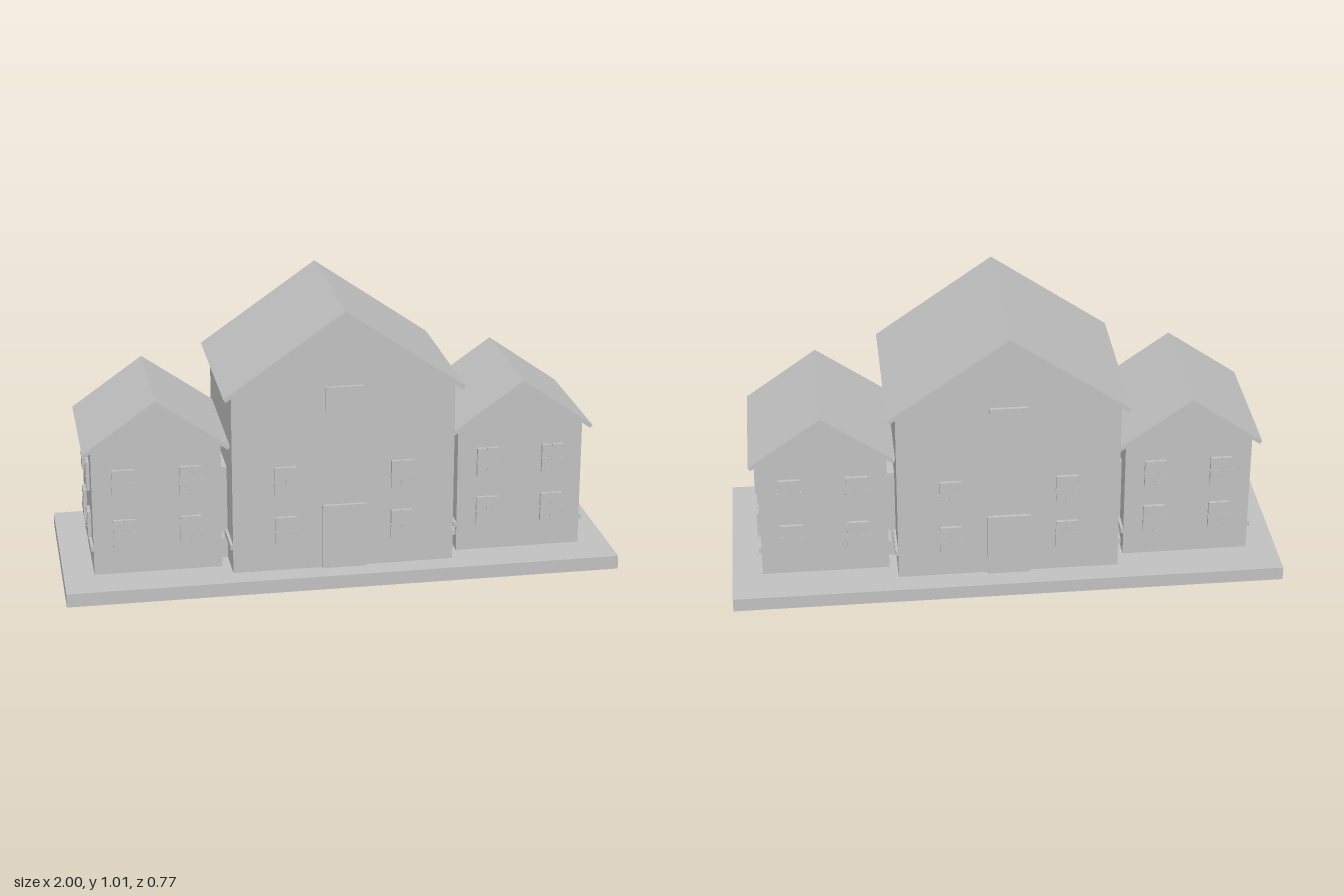
import * as THREE from 'three';

export function createModel() {
  const root = new THREE.Group();
  root.name = 'gabledHouses';
  const grey = new THREE.MeshStandardMaterial({ color: 0xc0c0c0 });
  grey.name = 'plain grey';

  function box(parent, name, w, h, d, x, y, z) {
    const mesh = new THREE.Mesh(new THREE.BoxGeometry(w, h, d), grey);
    mesh.name = name;
    mesh.position.set(x, y, z);
    parent.add(mesh);
    return mesh;
  }

  // outline in x, y extruded along z, centred on z = 0
  function prism(parent, name, points, depth) {
    const shape = new THREE.Shape(points.map(([x, y]) => new THREE.Vector2(x, y)));
    const geometry = new THREE.ExtrudeGeometry(shape, { depth, bevelEnabled: false });
    geometry.translate(0, 0, -depth / 2);
    const mesh = new THREE.Mesh(geometry, grey);
    mesh.name = name;
    parent.add(mesh);
  }

  // window plate with crossing bars, facing along the given turn about y
  function addWindow(parent, x, y, z, turn, w) {
    const win = new THREE.Group();
    win.name = 'window';
    box(win, 'windowPlate', w, 0.105, 0.012, 0, 0, 0.006);
    box(win, 'uprightBar', 0.005, 0.111, 0.0095, 0, 0, 0.008);
    box(win, 'crossBar', w + 0.006, 0.005, 0.0095, 0, 0, 0.008);
    win.position.set(x, y, z);
    win.rotation.y = turn;
    parent.add(win);
  }

  const windowRows = [0.203, 0.392];

  // walls, roof, wall bands and the windows of both gable ends
  function house(name, x, h) {
    const g = new THREE.Group();
    g.name = name;
    g.position.x = x;
    const { half, depth, eave, ridge, roofHalf, roofEave, roofDepth, windowX } = h;
    prism(g, 'walls', [[-half, 0.05], [half, 0.05], [half, eave], [0, ridge], [-half, eave]], depth * 2);
    prism(g, 'roof', [
      [-roofHalf, roofEave], [-roofHalf + 0.008, roofEave - 0.012], [0, ridge],
      [roofHalf - 0.008, roofEave - 0.012], [roofHalf, roofEave], [0, ridge + 0.015],
    ], roofDepth * 2);
    for (const s of [-1, 1]) {
      box(g, 'wallBand', 0.01, 0.02, depth * 2, s * (half + 0.005), 0.15, 0);
      for (const wx of windowX)
        for (const y of windowRows) addWindow(g, wx, y, s * depth, s > 0 ? 0 : Math.PI, 0.078);
    }
    root.add(g);
    return g;
  }

  // ground slab
  box(root, 'base', 2, 0.05, 0.77, 0, 0.025, 0);

  // tall middle house with door and attic window at both ends
  const main = house('mainHouse', 0, {
    half: 0.4, depth: 0.3, eave: 0.722, ridge: 1.0,
    roofHalf: 0.43, roofEave: 0.717, roofDepth: 0.33, windowX: [-0.21, 0.21],
  });
  for (const s of [-1, 1]) {
    box(main, 'door', 0.156, 0.24, 0.012, 0, 0.17, s * 0.306);
    box(main, 'atticWindow', 0.135, 0.085, 0.012, 0, 0.692, s * 0.306);
  }

  // lower houses on both sides
  for (const s of [-1, 1]) {
    const wing = house(s > 0 ? 'leftHouse' : 'rightHouse', s * 0.66, {
      half: 0.23, depth: 0.23, eave: 0.525, ridge: 0.686,
      roofHalf: 0.26, roofEave: 0.518, roofDepth: 0.26, windowX: [-0.12, 0.12],
    });
    for (const z of [-0.107, 0.107])
      for (const y of windowRows) addWindow(wing, s * 0.23, y, z, s * Math.PI / 2, 0.068);
    // link between the houses
    box(root, 'link', 0.04, 0.35, 0.3, s * 0.415, 0.225, 0);
  }
  return root;
}
